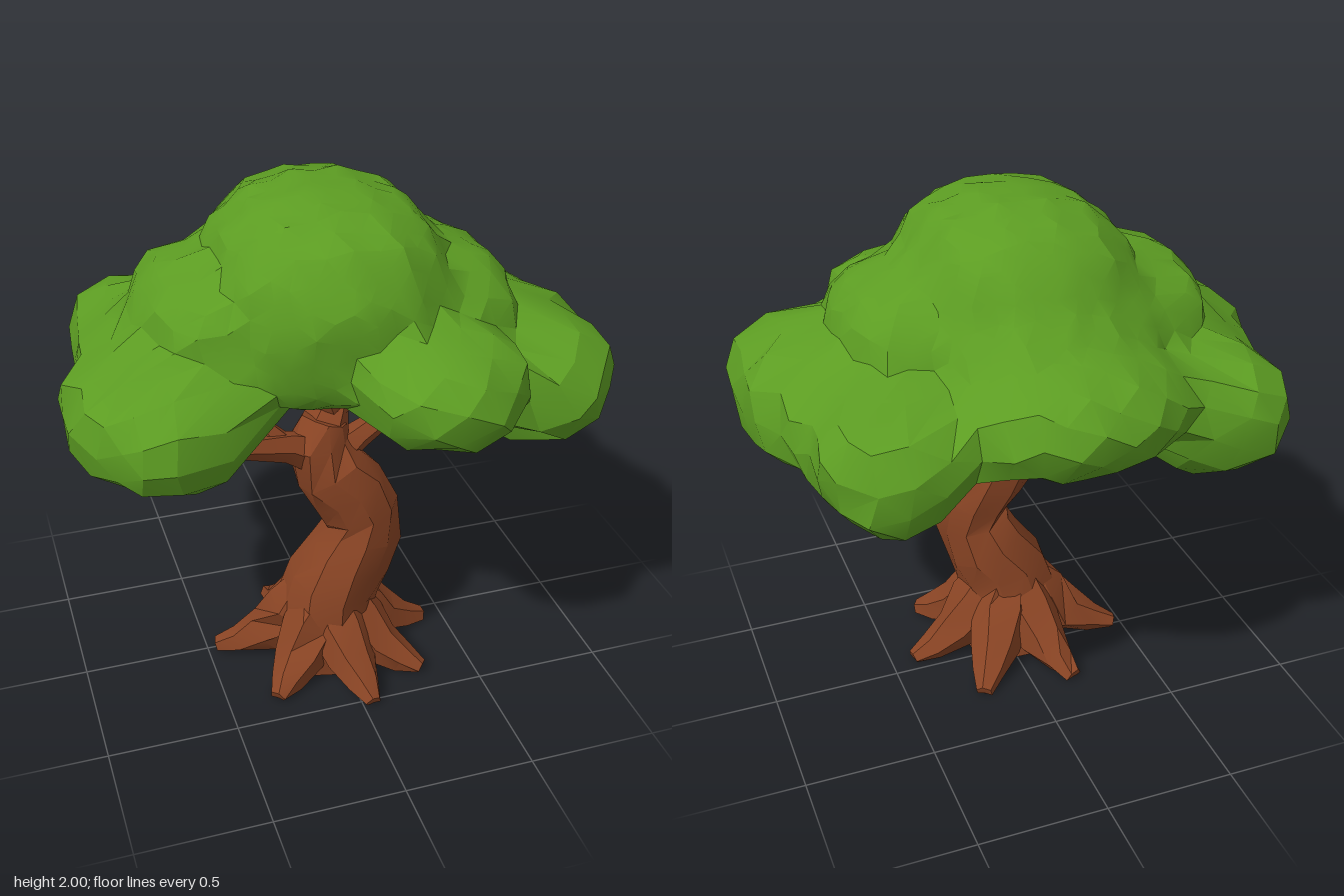
import * as THREE from 'three';
import { toCreasedNormals } from 'three/addons/utils/BufferGeometryUtils.js';

// Repeatable pseudo-random value in -1..1
const rnd = (n) => { const s = Math.sin(n * 127.1 + 11.7) * 43758.5453; return 2 * (s - Math.floor(s)) - 1; };

// Tapered, faceted limb swept along sections [x, y, z, radius]
function limb(sections, sides, rough, seed) {
  const pts = sections.map(([x, y, z]) => new THREE.Vector3(x, y, z));
  const last = pts.length - 1;
  const dir = pts[last].clone().sub(pts[0]);
  const ref = Math.abs(dir.z) <= Math.abs(dir.x) || Math.abs(dir.y) > Math.abs(dir.z)
    ? new THREE.Vector3(0, 0, 1) : new THREE.Vector3(1, 0, 0);
  const pos = [], index = [];
  pts.forEach((c, i) => {
    const t = pts[Math.min(i + 1, last)].clone().sub(pts[Math.max(i - 1, 0)]).normalize();
    const n = ref.clone().addScaledVector(t, -ref.dot(t)).normalize();
    const b = t.clone().cross(n);
    for (let j = 0; j < sides; j++) {
      const a = ((j + 0.3 * rnd(seed + i * 2.1)) / sides) * Math.PI * 2;
      const r = sections[i][3] * (1 + rough * rnd(seed + j * 3.7 + i * 0.9));
      const p = c.clone().addScaledVector(n, Math.cos(a) * r).addScaledVector(b, Math.sin(a) * r);
      pos.push(p.x, Math.max(p.y, 0), p.z);
    }
  });
  const ring = (i, j) => i * sides + (j % sides);
  const start = pos.length / 3;
  pos.push(...pts[0].toArray(), ...pts[last].toArray());
  for (let j = 0; j < sides; j++) {
    for (let i = 0; i < last; i++) {
      index.push(ring(i, j), ring(i, j + 1), ring(i + 1, j + 1), ring(i, j), ring(i + 1, j + 1), ring(i + 1, j));
    }
    index.push(start, ring(0, j + 1), ring(0, j), start + 1, ring(last, j), ring(last, j + 1));
  }
  const g = new THREE.BufferGeometry();
  g.setAttribute('position', new THREE.Float32BufferAttribute(pos, 3));
  g.setIndex(index);
  return toCreasedNormals(g, 0.45);
}

// Foliage clumps that melt together: centre and radii
const clumps = [
  [-0.02, 1.61, 0.05, 0.43, 0.385, 0.53], // crown
  [0.36, 1.52, 0.06, 0.31, 0.23, 0.4], // left shoulder
  [-0.37, 1.52, 0.0, 0.36, 0.24, 0.4], // right shoulder
  [0.25, 1.41, 0.53, 0.3, 0.2, 0.33], // front
  [0.7, 1.27, 0.2, 0.3, 0.245, 0.46], // left
  [-0.66, 1.26, 0.19, 0.34, 0.235, 0.41], // right
  [0.57, 1.27, -0.41, 0.29, 0.245, 0.29], // back left
  [-0.61, 1.26, -0.41, 0.29, 0.235, 0.29], // back right
  [-0.02, 1.41, -0.5, 0.41, 0.2, 0.36], // back
  [-0.02, 1.4, -0.05, 0.74, 0.15, 0.52], // underside
  [-0.02, 1.54, -0.3, 0.38, 0.19, 0.28], // back slope
  [0.7, 1.3, -0.13, 0.19, 0.18, 0.24], // left bridge
  [-0.7, 1.3, -0.13, 0.19, 0.18, 0.24], // right bridge
];

// True where the blended clumps fill the point
function inFoliage(p) {
  let sum = 0;
  for (const [x, y, z, rx, ry, rz] of clumps) {
    const e = 2.3;
    const q = (Math.abs((p.x - x) / rx) ** e + Math.abs((p.y - y) / ry) ** e + Math.abs((p.z - z) / rz) ** e) ** (1 / e);
    sum += Math.exp(14 * (1 - q));
  }
  return sum > 1;
}

// One faceted shell shrunk onto the clumps from outside
function canopy() {
  const g = new THREE.IcosahedronGeometry(1, 8);
  g.deleteAttribute('uv');
  const p = g.attributes.position, centre = new THREE.Vector3(0, 1.39, 0);
  const v = new THREE.Vector3(), q = new THREE.Vector3();
  for (let i = 0; i < p.count; i++) {
    v.fromBufferAttribute(p, i);
    // Uneven facets
    q.set(Math.sin(19 * v.y + 8 * v.z), Math.sin(17 * v.z + 9 * v.x), Math.sin(18 * v.x + 7 * v.y));
    v.addScaledVector(q, 0.025).normalize();
    const at = (r) => q.copy(centre).addScaledVector(v, r);
    let outer = 1.3;
    while (outer > 0.05 && !inFoliage(at(outer))) outer -= 0.02;
    let inner = outer;
    outer += 0.02;
    for (let k = 0; k < 7; k++) {
      const mid = (inner + outer) / 2;
      if (inFoliage(at(mid))) inner = mid; else outer = mid;
    }
    const dent = 1 + 0.012 * Math.sin(23 * v.x + 5 * v.y) + 0.012 * Math.sin(21 * v.z - 9 * v.y);
    at(inner * dent);
    p.setXYZ(i, q.x, q.y, q.z);
  }
  return toCreasedNormals(g, 0.4);
}

export function createModel() {
  const model = new THREE.Group();
  model.name = 'tree';
  const bark = new THREE.MeshStandardMaterial({ color: 0x894424 });
  bark.name = 'bark brown';
  const leaf = new THREE.MeshStandardMaterial({ color: 0x5c9c22 });
  leaf.name = 'leaf green';
  const add = (name, geometry, material) => {
    const m = new THREE.Mesh(geometry, material);
    m.name = name;
    model.add(m);
  };

  // S-curved trunk
  add('trunk', limb([
    [-0.03, 0, 0.12, 0.2], [-0.03, 0.1, 0.12, 0.21], [-0.03, 0.22, 0.13, 0.2],
    [-0.01, 0.35, 0.14, 0.185], [0.06, 0.47, 0.15, 0.165], [0.105, 0.58, 0.16, 0.15],
    [0.105, 0.68, 0.155, 0.15], [0.05, 0.79, 0.15, 0.152], [-0.03, 0.89, 0.145, 0.145],
    [-0.07, 1.0, 0.14, 0.122], [-0.04, 1.09, 0.13, 0.085],
  ], 9, 0.09, 2), bark);

  // Flared roots: tip x, tip z
  const roots = [[-0.46, 0.0], [-0.31, 0.39], [0.04, 0.53], [0.29, 0.39], [0.41, 0.06], [0.21, -0.25], [-0.17, -0.28]];
  roots.forEach(([tx, tz], i) => {
    const at = (k, y, r) => [-0.03 + (tx + 0.03) * k, y, 0.13 + (tz - 0.13) * k, r];
    add('root', limb([at(0.08, 0.34, 0.09), at(0.3, 0.2, 0.125), at(0.55, 0.09, 0.1), at(0.8, 0.035, 0.065), at(1, 0.01, 0.035)],
      6, 0.1, i * 7), bark);
  });

  // Branches, thick to thin
  const branches = [
    [[-0.06, 0.94, 0.14, 0.09], [-0.2, 1.02, 0.17, 0.06], [-0.4, 1.07, 0.22, 0.042], [-0.53, 1.12, 0.25, 0.034], [-0.62, 1.2, 0.26, 0.025]],
    [[-0.2, 1.01, 0.17, 0.055], [-0.28, 1.1, 0.15, 0.04], [-0.33, 1.2, 0.12, 0.032], [-0.38, 1.32, 0.1, 0.025]],
    [[-0.06, 0.98, 0.13, 0.11], [0.0, 1.12, 0.1, 0.075], [0.06, 1.22, 0.05, 0.055], [0.08, 1.36, 0.02, 0.04]],
    [[0.0, 1.11, 0.11, 0.06], [-0.03, 1.2, 0.15, 0.043], [-0.09, 1.34, 0.18, 0.03]],
    [[0.05, 1.18, 0.07, 0.045], [0.14, 1.2, -0.02, 0.035], [0.24, 1.23, -0.09, 0.025], [0.28, 1.32, -0.12, 0.02]],
    [[-0.03, 0.92, 0.14, 0.09], [0.1, 0.98, 0.12, 0.055], [0.26, 1.04, 0.07, 0.042], [0.42, 1.05, 0.05, 0.037], [0.55, 1.12, 0.06, 0.028], [0.62, 1.2, 0.08, 0.02]],
    [[0.27, 1.03, 0.07, 0.04], [0.3, 1.1, 0.03, 0.034], [0.31, 1.19, -0.02, 0.026], [0.35, 1.3, -0.05, 0.02]],
    [[0.24, 1.03, 0.08, 0.036], [0.4, 1.02, 0.0, 0.03], [0.53, 1.1, -0.14, 0.024], [0.58, 1.2, -0.2, 0.018]],
  ];
  branches.forEach((b, i) => add('branch', limb(b, 6, 0.1, i * 5 + 1), bark));

  add('canopy', canopy(), leaf);
  return model;
}
